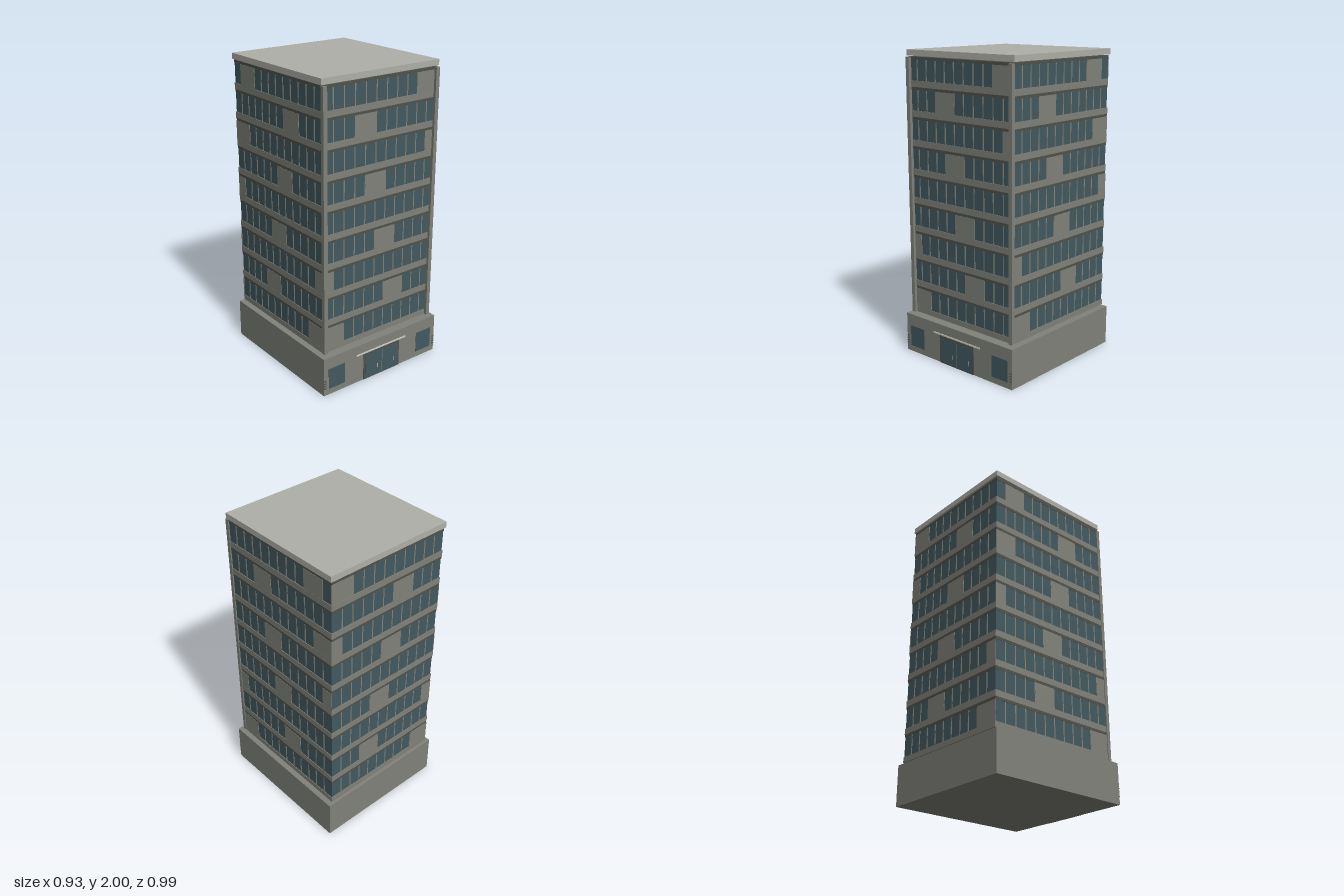
import * as THREE from 'three';

const mat = (name, color) => Object.assign(new THREE.MeshStandardMaterial({ color }), { name });

export function createModel() {
  const concrete = mat('concrete', 0x80827a);
  const roofGrey = mat('roof grey', 0xb0b0aa);
  const glass = mat('glass', 0x42595f);
  const dark = mat('dark trim', 0x50524b);
  const pale = mat('pale metal', 0xc9c9c4);

  const model = new THREE.Group();
  model.name = 'officeTower';

  // Box given by its lower and upper limits on each axis
  function box(parent, name, material, x0, x1, y0, y1, z0, z1) {
    const mesh = new THREE.Mesh(new THREE.BoxGeometry(x1 - x0, y1 - y0, z1 - z0), material);
    mesh.position.set((x0 + x1) / 2, (y0 + y1) / 2, (z0 + z1) / 2);
    mesh.name = name;
    parent.add(mesh);
  }

  // Ground floor block
  const base = new THREE.Group();
  base.name = 'base';
  model.add(base);
  const F = 0.487;
  box(base, 'baseBlock', concrete, -0.467, 0.467, 0, 0.262, -0.497, F);

  // Entrance: frame, two doors, handles and canopy strip
  box(base, 'doorFrame', dark, -0.152, 0.148, 0, 0.193, F, F + 0.004);
  for (const [x0, handle] of [[-0.135, -0.037], [0.003, 0.104]]) {
    box(base, 'doorGlass', glass, x0, x0 + 0.134, 0.005, 0.17, F, F + 0.0055);
    box(base, 'doorHandle', pale, handle - 0.002, handle + 0.002, 0.05, 0.08, F, F + 0.007);
  }
  box(base, 'doorDivider', concrete, -0.001, 0.003, 0, 0.17, F, F + 0.006);
  box(base, 'entranceCanopy', pale, -0.21, 0.204, 0.19, 0.2, F, F + 0.005);

  // Shop windows and corner vents
  for (const s of [-1, 1]) {
    const x = s * 0.366;
    box(base, 'groundWindow', glass, x - 0.064, x + 0.064, 0.04, 0.182, F, F + 0.002);
    for (let i = 0; i < 4; i++) {
      const y = 0.05 + i * 0.017;
      box(base, 'ventSlat', dark, s * 0.458 - 0.009, s * 0.458 + 0.009, y, y + 0.006, F, F + 0.003);
    }
  }

  // Tower limits
  const W = 0.437, ZF = 0.443, ZB = -0.483;
  const tower = new THREE.Group();
  tower.name = 'tower';
  model.add(tower);
  const ring = (parent, name, material, inset, y0, y1) =>
    box(parent, name, material, -W + inset, W - inset, y0, y1, ZB + inset, ZF - inset);

  // Plates on opposite faces: across x (front and back) or along z (both sides)
  const G = 0.004;
  function frontBack(parent, name, material, x0, x1, y0, y1, t) {
    box(parent, name, material, x0, x1, y0, y1, ZF - G, ZF - G + t);
    box(parent, name, material, x0, x1, y0, y1, ZB + G - t, ZB + G);
  }
  function bothSides(parent, name, material, z0, z1, y0, y1, t) {
    box(parent, name, material, W - G, W - G + t, y0, y1, z0, z1);
    box(parent, name, material, -W + G - t, -W + G, y0, y1, z0, z1);
  }

  // First blank bay and bay count on each floor
  const blankX = [[0, 2], [6, 2], [0, 1], [5, 2], [0, 0], [4, 2], [10, 1], [3, 2], [9, 2]];
  const blankZ = [[0, 2], [6, 2], [0, 1], [5, 2], [11, 1], [4, 2], [10, 2], [3, 2], [9, 2]];
  const bayX = (2 * W) / 11, bayZ = (ZF - ZB) / 12;

  for (let f = 0; f < 9; f++) {
    const floor = new THREE.Group();
    floor.name = 'floor' + (f + 1);
    tower.add(floor);
    const y0 = 0.31 + f * 0.1875, y1 = y0 + 0.13;
    ring(floor, 'spandrelBand', concrete, 0, f ? y0 - 0.04 : 0.274, y0);
    ring(floor, 'windowBand', glass, G, y0, y1);
    ring(floor, 'shadowGap', dark, 0.002, y1, y1 + 0.0175);

    // Mullions between the bays
    for (let i = 1; i < 11; i++) {
      const x = -W + i * bayX;
      frontBack(floor, 'mullion', concrete, x - 0.004, x + 0.004, y0, y1, 0.003);
    }
    for (let i = 1; i < 12; i++) {
      const z = ZF - i * bayZ;
      bothSides(floor, 'mullion', concrete, z - 0.004, z + 0.004, y0, y1, 0.003);
    }

    // Blank wall panels
    const [bx, nx] = blankX[f], [bz, nz] = blankZ[f];
    if (nx) frontBack(floor, 'blankPanel', concrete, -W + bx * bayX, -W + (bx + nx) * bayX, y0, y1, 0.0035);
    if (nz) bothSides(floor, 'blankPanel', concrete, ZF - (bz + nz) * bayZ, ZF - bz * bayZ, y0, y1, 0.0035);
  }

  // Front corner columns
  for (const s of [-1, 1])
    box(tower, 'frontColumn', concrete, s * 0.427 - 0.014, s * 0.427 + 0.014, 0.274, 1.955, 0.435, 0.46);

  // Roof slab
  box(model, 'roofSlab', roofGrey, -0.445, 0.445, 1.9625, 2, -0.488, 0.446);
  return model;
}
